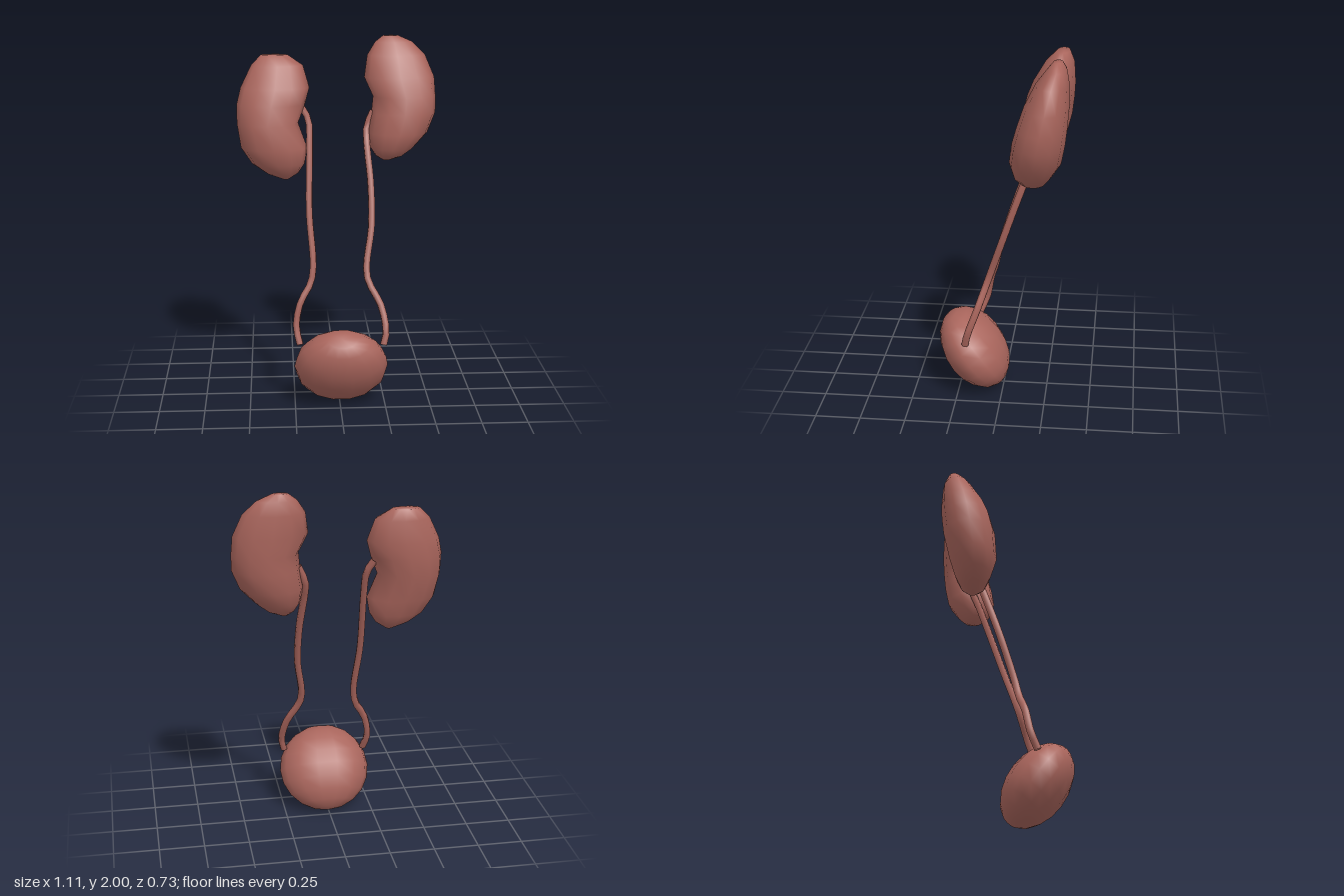
import * as THREE from 'three';

const material = new THREE.MeshStandardMaterial({ color: 0xa9655c, side: THREE.DoubleSide });

// Closed smooth body from elliptical level sections, top to bottom: [y, xMin, xMax, zBack, zFront]
function loft(rows, sides = 12) {
  const pos = [], index = [];
  for (const [y, x0, x1, z0, z1] of rows) {
    for (let i = 0; i < sides; i++) {
      const t = (i / sides) * Math.PI * 2;
      pos.push((x0 + x1) / 2 + ((x1 - x0) / 2) * Math.cos(t), y, (z0 + z1) / 2 + ((z1 - z0) / 2) * Math.sin(t));
    }
  }
  const last = (rows.length - 1) * sides, top = rows.length * sides;
  for (const [y, x0, x1, z0, z1] of [rows[0], rows[rows.length - 1]]) {
    pos.push((x0 + x1) / 2, y, (z0 + z1) / 2);
  }
  for (let i = 0; i < sides; i++) {
    const k = (i + 1) % sides;
    index.push(top, k, i, top + 1, last + i, last + k);
    for (let j = 0; j < last; j += sides) {
      index.push(j + i, j + k, j + sides + i, j + k, j + sides + k, j + sides + i);
    }
  }
  const g = new THREE.BufferGeometry();
  g.setAttribute('position', new THREE.Float32BufferAttribute(pos, 3));
  g.setIndex(index);
  g.computeVertexNormals();
  return g;
}

// Thin five-sided tube through a few points
function duct(points) {
  const curve = new THREE.CatmullRomCurve3(points.map((p) => new THREE.Vector3(...p)));
  return new THREE.TubeGeometry(curve, 24, 0.02, 6);
}

export function createModel() {
  const group = new THREE.Group();
  const add = (name, geometry) => {
    const mesh = new THREE.Mesh(geometry, material);
    mesh.name = name;
    group.add(mesh);
    return mesh;
  };

  // Bean-shaped kidneys, notched on the inner side and leaning back
  add('leftKidney', loft([
    [2.0, 0.265, 0.35, -0.33, -0.28],
    [1.965, 0.22, 0.43, -0.352, -0.25],
    [1.895, 0.175, 0.50, -0.365, -0.195],
    [1.775, 0.157, 0.55, -0.367, -0.135],
    [1.67, 0.205, 0.557, -0.36, -0.1],
    [1.58, 0.195, 0.555, -0.35, -0.075],
    [1.47, 0.178, 0.51, -0.33, -0.06],
    [1.385, 0.19, 0.43, -0.28, -0.08],
    [1.34, 0.22, 0.37, -0.245, -0.12],
    [1.315, 0.26, 0.3, -0.21, -0.17],
  ]));
  add('rightKidney', loft([
    [1.897, -0.42, -0.27, -0.335, -0.26],
    [1.84, -0.475, -0.185, -0.36, -0.2],
    [1.72, -0.535, -0.15, -0.367, -0.13],
    [1.63, -0.557, -0.175, -0.362, -0.095],
    [1.525, -0.557, -0.215, -0.35, -0.07],
    [1.39, -0.535, -0.165, -0.315, -0.06],
    [1.3, -0.475, -0.18, -0.285, -0.09],
    [1.245, -0.395, -0.215, -0.255, -0.12],
    [1.21, -0.305, -0.27, -0.21, -0.17],
  ]));

  // Ureters running from the kidney notches down to the bladder
  add('leftUreter', duct([
    [0.205, 1.59, -0.22], [0.168, 1.5, -0.21], [0.168, 1.4, -0.165], [0.185, 1.2, -0.09],
    [0.185, 0.98, -0.015], [0.155, 0.71, 0.075], [0.23, 0.555, 0.13], [0.255, 0.42, 0.18], [0.24, 0.35, 0.195],
  ]));
  add('rightUreter', duct([
    [-0.195, 1.61, -0.245], [-0.157, 1.54, -0.225], [-0.153, 1.4, -0.17], [-0.16, 1.05, -0.045],
    [-0.142, 0.76, 0.045], [-0.158, 0.67, 0.065], [-0.215, 0.57, 0.095], [-0.24, 0.44, 0.12], [-0.22, 0.345, 0.16],
  ]));

  // Egg-like bladder tipped forward
  const bladder = add('bladder', new THREE.SphereGeometry(1, 14, 10));
  bladder.scale.set(0.26, 0.252, 0.165);
  bladder.rotation.x = 0.64;
  bladder.position.set(0.007, 0.224, 0.167);

  return group;
}
